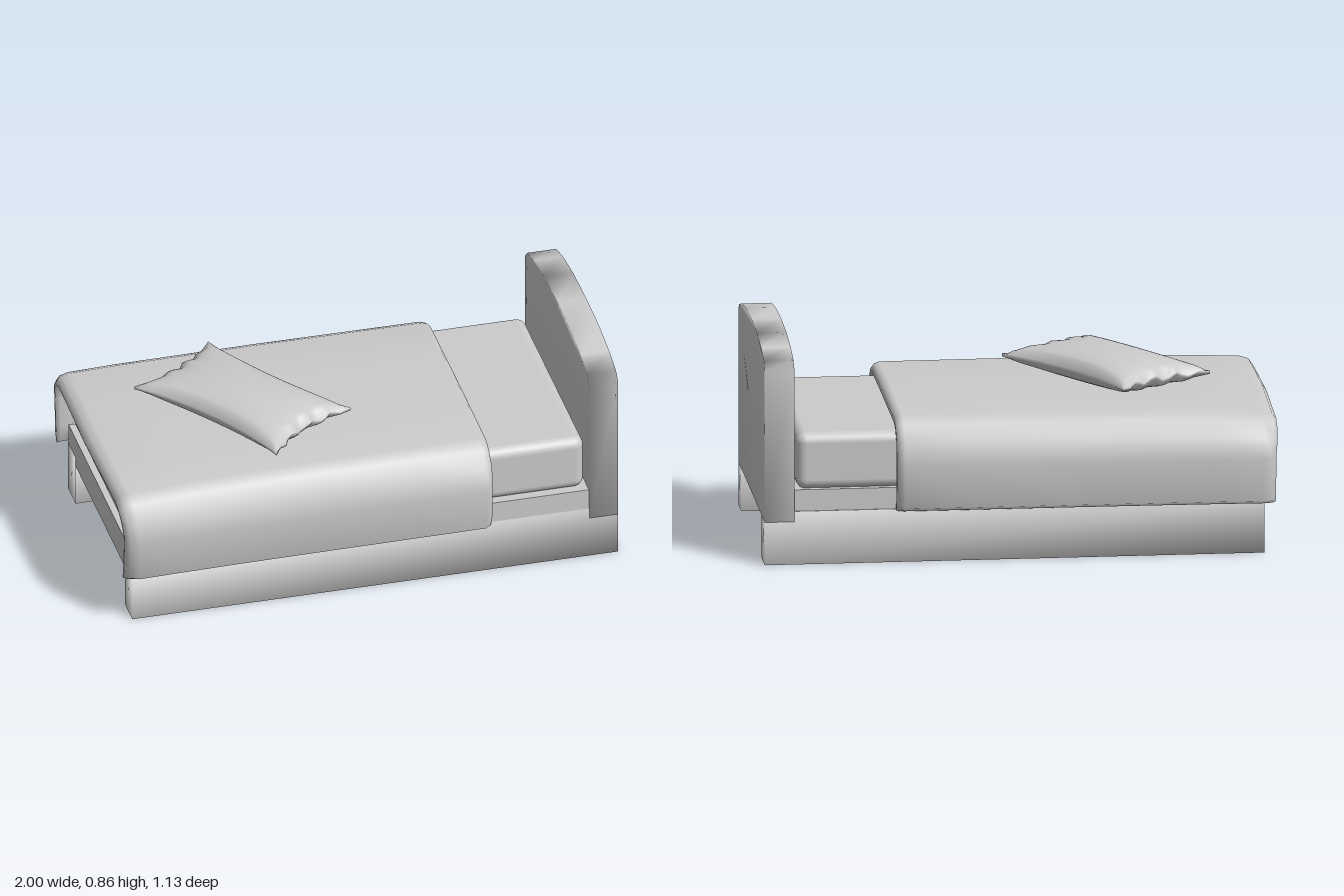
import * as THREE from 'three';
import { mergeVertices } from 'three/addons/utils/BufferGeometryUtils.js';
import { RoundedBoxGeometry } from 'three/addons/geometries/RoundedBoxGeometry.js';

const material = new THREE.MeshStandardMaterial({ color: 0xcccccc });
const clothMaterial = new THREE.MeshStandardMaterial({ color: 0xcccccc, side: THREE.DoubleSide });

function addPart(group, name, geometry, mat = material) {
  const mesh = new THREE.Mesh(geometry, mat);
  mesh.name = name;
  group.add(mesh);
  return mesh;
}

// Share corner vertices so the shading runs softly over the edges
function soften(geometry) {
  geometry.deleteAttribute('normal');
  geometry.deleteAttribute('uv');
  const welded = mergeVertices(geometry, 1e-4);
  welded.computeVertexNormals();
  return welded;
}

function box(x0, x1, y0, y1, z0, z1) {
  return new THREE.BoxGeometry(x1 - x0, y1 - y0, z1 - z0)
    .translate((x0 + x1) / 2, (y0 + y1) / 2, (z0 + z1) / 2);
}

// Upright board with a gently arched top
function headboardGeometry() {
  const half = [[0.49, 0.17], [0.49, 0.772], [0.455, 0.805], [0.355, 0.832], [0.2, 0.852]];
  const left = half.map(([z, y]) => [-z, y]).reverse();
  const outline = [...half, [0, 0.858], ...left].map(([z, y]) => new THREE.Vector2(z, y));
  const geometry = new THREE.ExtrudeGeometry(new THREE.Shape(outline), { depth: 0.115, bevelEnabled: false });
  geometry.rotateY(Math.PI / 2).translate(0.885, 0, 0);
  return soften(geometry);
}

// Thick cover: one draped cross-section swept along the bed, thinned at both ends
function quiltGeometry() {
  const outerHalf = [[0.515, 0.205], [0.548, 0.222], [0.557, 0.39], [0.543, 0.485], [0.49, 0.542], [0.44, 0.568], [0.2, 0.573]];
  const innerHalf = [[0.495, 0.21], [0.49, 0.28], [0.506, 0.4], [0.49, 0.48], [0.46, 0.508], [0.42, 0.515], [0.2, 0.515]];
  const whole = (half, top) => [...half, [0, top], ...half.map(([z, y]) => [-z, y]).reverse()];
  const outer = whole(outerHalf, 0.574);
  const inner = whole(innerHalf, 0.515);
  // Each station: x, thinning towards the middle of the cloth, drop of the top, widening
  const stations = [
    [-0.982, 0.75, 0.03, 0.0], [-0.965, 0.2, 0.022, 0.008], [-0.93, 0, 0.018, 0.01],
    [-0.75, 0, 0.009, 0.005], [-0.5, 0, 0.004, 0], [-0.2, 0, 0, -0.003], [0.2, 0, 0, -0.006],
    [0.46, 0, 0, -0.008], [0.478, 0.2, 0, -0.01], [0.49, 0.7, 0, -0.012],
  ];
  const n = outer.length, ring = 2 * n, positions = [], index = [];
  for (const [x, thin, drop, widen] of stations) {
    const point = (a, b) => {
      const z = THREE.MathUtils.lerp(a[0], (a[0] + b[0]) / 2, thin);
      const y = THREE.MathUtils.lerp(a[1], (a[1] + b[1]) / 2, thin);
      const top = THREE.MathUtils.smoothstep(y, 0.4, 0.52);
      const overhang = x < -0.9 ? 0.018 * top * (1 - Math.abs(z)) : 0;
      positions.push(x - overhang, y - drop * top, z + Math.sign(z) * widen);
    };
    for (let k = 0; k < n; k++) point(outer[k], inner[k]);
    for (let k = n - 1; k >= 0; k--) point(inner[k], outer[k]);
  }
  for (let s = 0; s < stations.length - 1; s++) {
    for (let k = 0; k < ring; k++) {
      const a = s * ring + k, b = s * ring + (k + 1) % ring;
      index.push(a, a + ring, b, b, a + ring, b + ring);
    }
  }
  const last = (stations.length - 1) * ring;
  for (let k = 0; k < n - 1; k++) {
    const a = k, b = k + 1, c = ring - 2 - k, d = ring - 1 - k;
    index.push(a, b, c, a, c, d);
    index.push(last + a, last + c, last + b, last + a, last + d, last + c);
  }
  const geometry = new THREE.BufferGeometry();
  geometry.setAttribute('position', new THREE.Float32BufferAttribute(positions, 3));
  geometry.setIndex(index);
  geometry.computeVertexNormals();
  return geometry;
}

// Puffed cushion: a box grid squeezed to a seam, with pointed corners and ruffled short ends
function cushionGeometry() {
  const geometry = new THREE.BoxGeometry(2, 2, 2, 20, 1, 28);
  const p = geometry.attributes.position;
  for (let i = 0; i < p.count; i++) {
    const u = p.getX(i), side = p.getY(i), v = p.getZ(i);
    const across = 1 - u * u, along = 1 - v * v;
    const puff = Math.pow(across * along, 0.42);
    const ruffle = Math.pow(Math.abs(v), 10) * across;
    const x = u * (0.217 - 0.042 * along);
    const z = v * (0.365 - 0.045 * across + 0.008 * ruffle * Math.sin(u * 17));
    const y = side * (0.006 + 0.06 * puff) + 0.012 * ruffle * Math.sin(u * 13);
    p.setXYZ(i, x, y, z);
  }
  return soften(geometry);
}

export function createModel() {
  const bed = new THREE.Group();
  bed.name = 'bed';

  // Frame
  for (const side of [1, -1]) {
    const inside = side * 0.375, outside = side * 0.49;
    const rail = box(-0.94, 1, 0, 0.21, Math.min(inside, outside), Math.max(inside, outside));
    addPart(bed, side > 0 ? 'leftRail' : 'rightRail', soften(rail));
  }
  addPart(bed, 'platform', box(-0.94, 0.9, 0.17, 0.295, -0.482, 0.482));
  addPart(bed, 'headboard', headboardGeometry());

  // Bedding
  const mattress = new RoundedBoxGeometry(1.8, 0.225, 0.935, 4, 0.04);
  addPart(bed, 'mattress', mattress).position.set(-0.025, 0.402, -0.007);
  addPart(bed, 'quilt', quiltGeometry(), clothMaterial);

  const cushion = addPart(bed, 'cushion', cushionGeometry());
  cushion.position.set(-0.38, 0.638, 0.03);
  cushion.rotation.y = 0.597;

  return bed;
}
